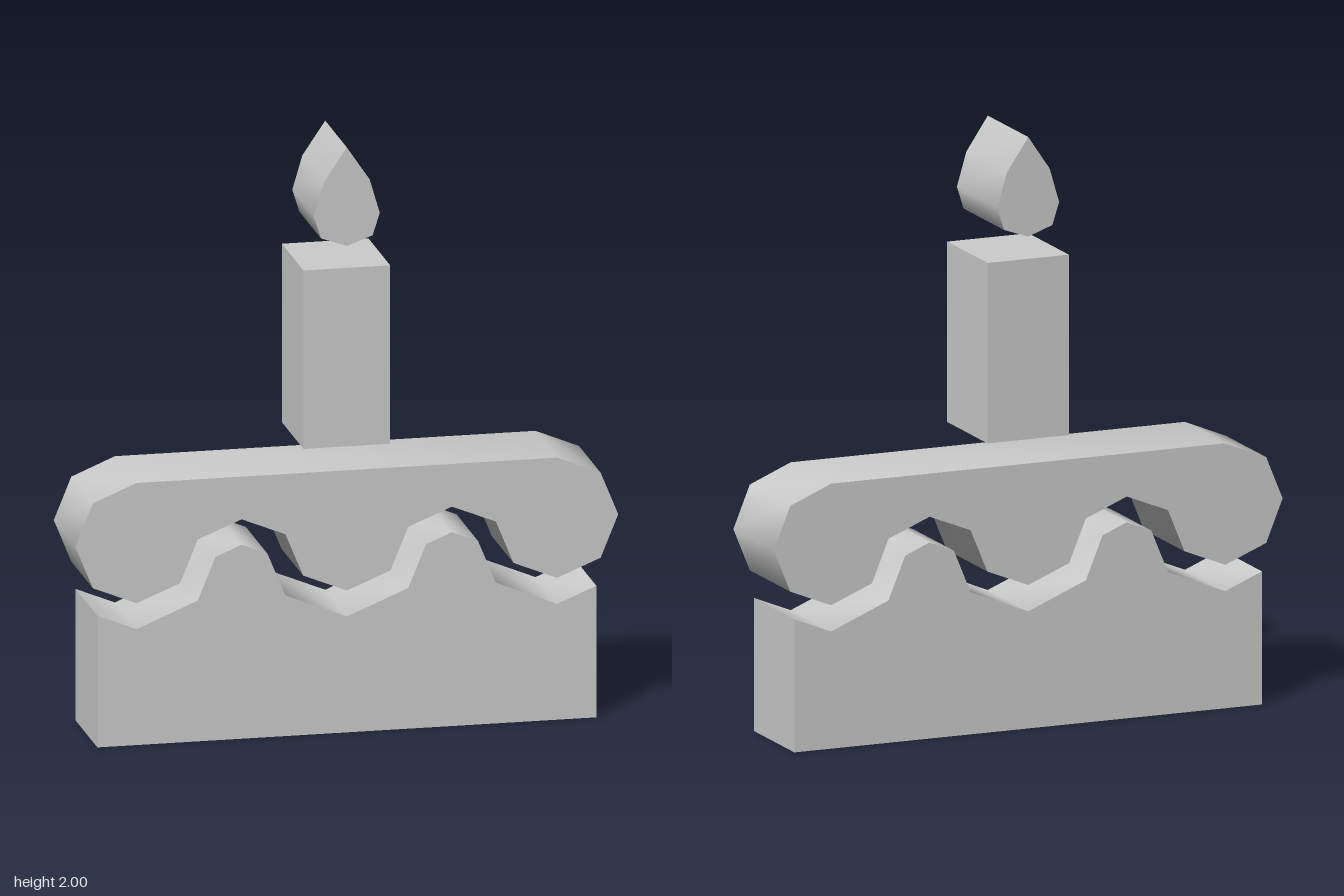
import * as THREE from 'three';
import { toCreasedNormals } from 'three/addons/utils/BufferGeometryUtils.js';

const DEPTH = 0.33;

export function createModel() {
  const group = new THREE.Group();
  group.name = 'birthdayCake';
  const material = new THREE.MeshStandardMaterial({ color: 0xcccccc });

  // Extrudes a symmetric outline given by its +x half, mirrored to -x.
  function addSlab(name, half) {
    const mirrored = half.filter(([x]) => x > 0).reverse().map(([x, y]) => [-x, y]);
    const shape = new THREE.Shape([...half, ...mirrored].map(([x, y]) => new THREE.Vector2(x, y)));
    const geometry = new THREE.ExtrudeGeometry(shape, { depth: DEPTH, bevelEnabled: false });
    geometry.translate(0, 0, -DEPTH / 2);
    const mesh = new THREE.Mesh(toCreasedNormals(geometry, 1.05), material);
    mesh.name = name;
    group.add(mesh);
  }

  // Cake body with a wavy top
  addSlab('cakeBase', [
    [0.84, 0], [0.84, 0.45], [0.708, 0.396], [0.502, 0.481], [0.442, 0.627],
    [0.354, 0.663], [0.267, 0.627], [0.207, 0.481], [0, 0.396],
  ]);

  // Icing with rounded drips following the wave
  addSlab('icing', [
    [0.708, 0.896], [0.855, 0.835], [0.914, 0.69], [0.855, 0.545], [0.708, 0.485],
    [0.561, 0.545], [0.502, 0.69], [0.354, 0.75], [0.207, 0.69], [0.147, 0.545], [0, 0.485],
  ]);

  // Candle
  const candle = new THREE.Mesh(new THREE.BoxGeometry(0.292, 0.61, DEPTH), material);
  candle.name = 'candle';
  candle.position.y = 1.283;
  group.add(candle);

  // Teardrop flame
  addSlab('flame', [[0, 2], [0.077, 1.886], [0.111, 1.77], [0.087, 1.694], [0, 1.663]]);

  return group;
}
